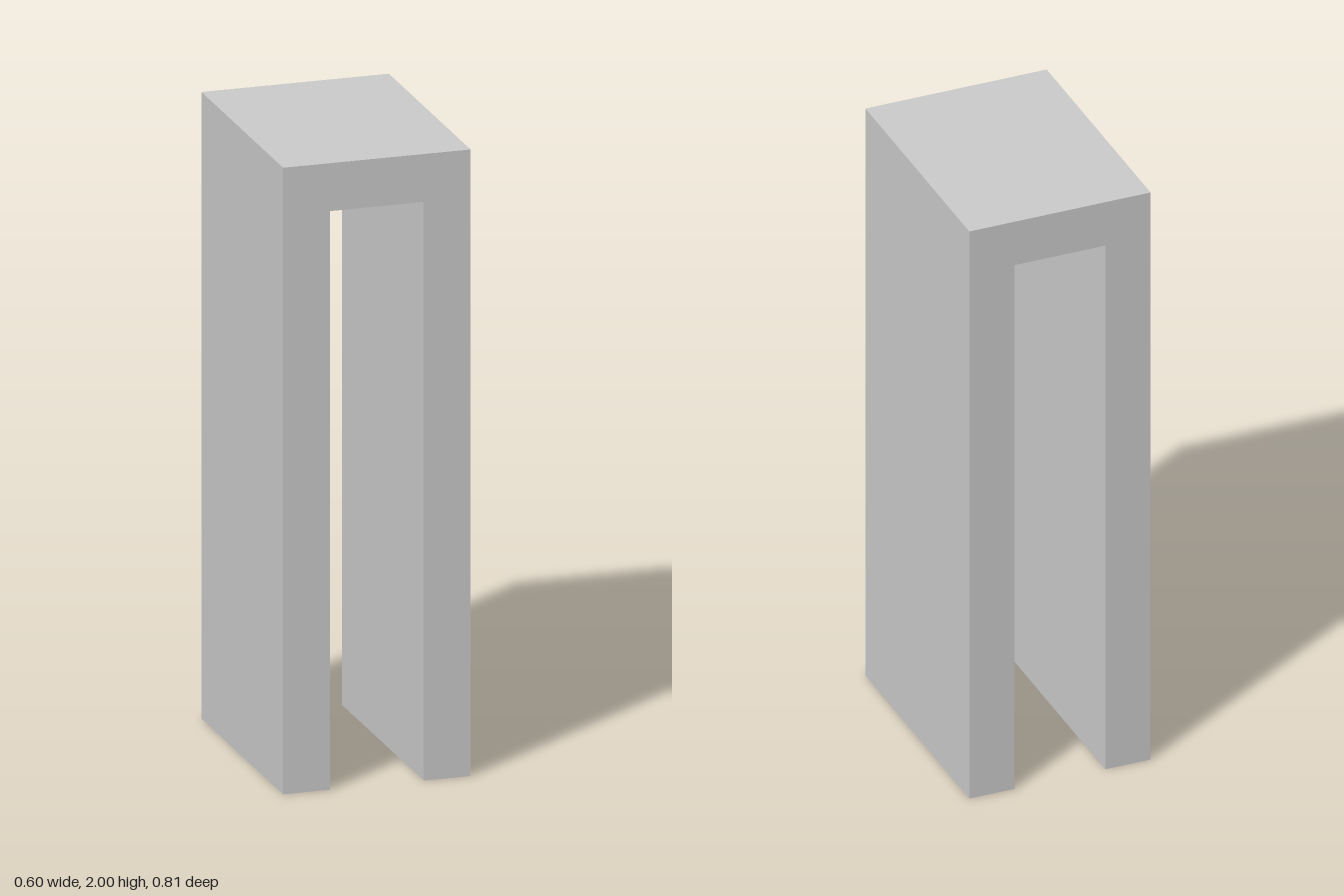
import * as THREE from 'three';

export function createModel() {
  const group = new THREE.Group();
  const material = new THREE.MeshStandardMaterial({ color: 0xcccccc, flatShading: true });

  const height = 2, halfWidth = 0.3, halfOpening = 0.15, openingTop = 1.847, depth = 0.806;

  // Upside-down U: two legs joined by a lintel, outlined counter-clockwise
  const outline = new THREE.Shape([
    [-halfWidth, 0], [-halfOpening, 0], [-halfOpening, openingTop], [halfOpening, openingTop],
    [halfOpening, 0], [halfWidth, 0], [halfWidth, height], [-halfWidth, height],
  ].map(([x, y]) => new THREE.Vector2(x, y)));

  // Extruded front to back and centred on z
  const geometry = new THREE.ExtrudeGeometry(outline, { depth, bevelEnabled: false });
  geometry.translate(0, 0, -depth / 2);

  const archway = new THREE.Mesh(geometry, material);
  archway.name = 'archway';
  group.add(archway);
  return group;
}
